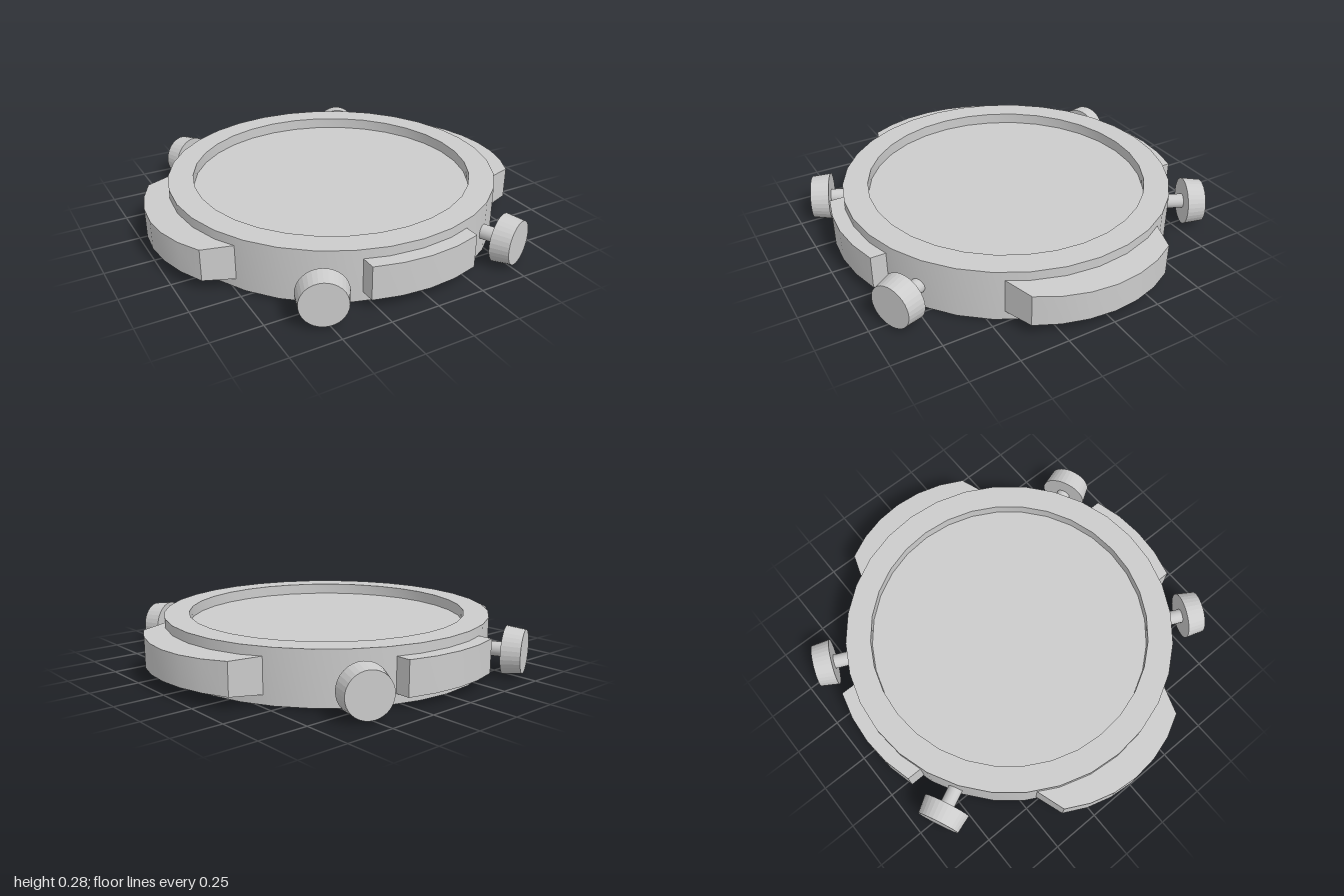
import * as THREE from 'three';
import { toCreasedNormals } from 'three/addons/utils/BufferGeometryUtils.js';

const material = new THREE.MeshStandardMaterial({ color: 0xcccccc });

function addMesh(parent, name, geometry, mat = material) {
  const mesh = new THREE.Mesh(geometry, mat);
  mesh.name = name;
  parent.add(mesh);
  return mesh;
}

// Tab pointing along +x: straight root and ends, arc-shaped outer face, thinner outwards by taper
function tabGeometry({ rootX, rootZ, endX, endZ, tipX, bottom, top, taper, steps }) {
  const sag = tipX - endX;
  const radius = (endZ * endZ + sag * sag) / (2 * sag);
  const half = Math.asin(endZ / radius);
  const points = [new THREE.Vector2(rootX, -rootZ)];
  for (let i = 0; i <= steps; i++) {
    const a = -half + (2 * half * i) / steps;
    points.push(new THREE.Vector2(tipX - radius + radius * Math.cos(a), radius * Math.sin(a)));
  }
  points.push(new THREE.Vector2(rootX, rootZ));
  const geometry = new THREE.ExtrudeGeometry(new THREE.Shape(points), { depth: top - bottom, bevelEnabled: false });
  geometry.rotateX(-Math.PI / 2);
  const pos = geometry.attributes.position;
  const mid = (top - bottom) / 2;
  for (let i = 0; i < pos.count; i++) {
    const t = (pos.getX(i) - rootX) / (tipX - rootX);
    pos.setY(i, bottom + mid + (pos.getY(i) - mid) * (1 - taper * t));
  }
  return toCreasedNormals(geometry, 0.45);
}

export function createModel() {
  const model = new THREE.Group();
  model.name = 'roundTray';

  // Round body with a raised rim and shallow recess
  const profile = [[0, 0.008], [0.86, 0.008], [0.86, 0.278], [0.73, 0.278], [0.73, 0.22], [0, 0.22]]
    .map(([r, y]) => new THREE.Vector2(r, y));
  addMesh(model, 'body', toCreasedNormals(new THREE.LatheGeometry(profile, 32), 0.5));

  // Wide tapered tabs left and right, narrower ones front and back
  const sideTab = tabGeometry({
    rootX: 0.74, rootZ: 0.43, endX: 0.89, endZ: 0.38, tipX: 1,
    bottom: 0.055, top: 0.233, taper: 0.14, steps: 6,
  });
  const endTab = tabGeometry({
    rootX: 0.77, rootZ: 0.285, endX: 0.885, endZ: 0.285, tipX: 0.932,
    bottom: 0.057, top: 0.23, taper: 0, steps: 4,
  });
  addMesh(model, 'leftTab', sideTab);
  addMesh(model, 'rightTab', sideTab).rotation.y = Math.PI;
  addMesh(model, 'frontTab', endTab).rotation.y = -Math.PI / 2;
  addMesh(model, 'backTab', endTab).rotation.y = Math.PI / 2;

  // Four splayed knobs on short stems
  const knobMaterial = material.clone();
  knobMaterial.flatShading = true;
  const stem = new THREE.CylinderGeometry(0.038, 0.038, 0.2, 16).rotateX(Math.PI / 2).translate(0, 0, -0.13);
  const cap = new THREE.CylinderGeometry(0.112, 0.124, 0.097, 32).rotateX(Math.PI / 2);
  for (const sx of [1, -1]) {
    for (const sz of [1, -1]) {
      const knob = new THREE.Group();
      knob.name = (sz > 0 ? 'front' : 'back') + (sx > 0 ? 'Left' : 'Right') + 'Knob';
      addMesh(knob, 'knobStem', stem);
      addMesh(knob, 'knobCap', cap, knobMaterial);
      knob.position.set(sx * 0.515, 0.125, sz * 0.857);
      knob.rotation.y = Math.atan2(sx * 0.423, sz * 0.906);
      model.add(knob);
    }
  }
  return model;
}
